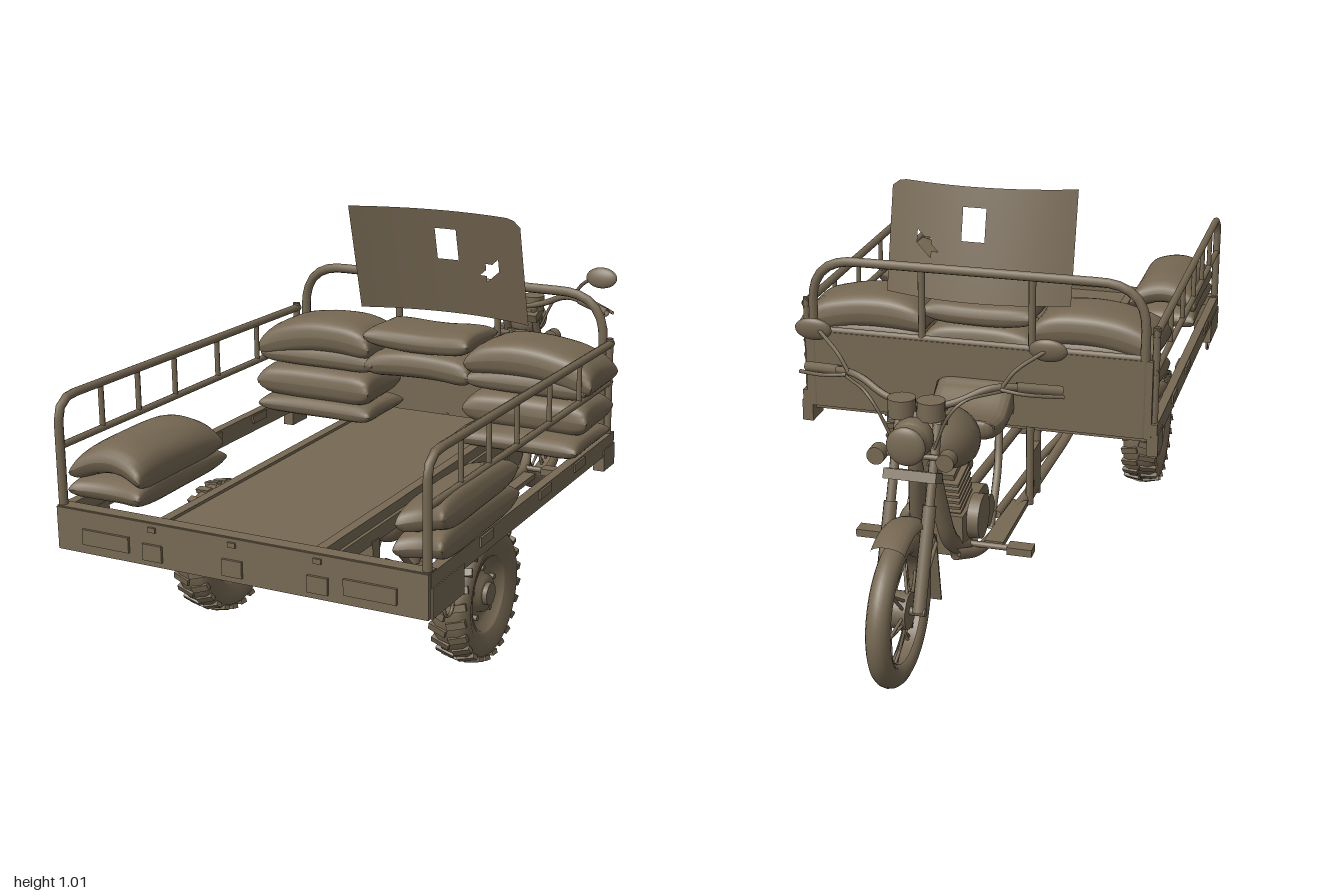
import * as THREE from 'three';

const V = (x, y, z) => new THREE.Vector3(x, y, z);
const CX = -0.012; // centre line of the vehicle

export function createModel() {
  const root = new THREE.Group();
  const paint = new THREE.MeshStandardMaterial({ color: 0x766853, side: THREE.DoubleSide });
  paint.name = 'dusty brown';

  const add = (name, geo, p = [0, 0, 0], r = [0, 0, 0], parent = root) => {
    const m = new THREE.Mesh(geo, paint);
    m.name = name;
    m.position.set(...p);
    m.rotation.set(...r);
    parent.add(m);
    return m;
  };
  const box = (name, w, h, d, p, r, parent) => add(name, new THREE.BoxGeometry(w, h, d), p, r, parent);
  // cylinder lying along x, y or z
  const cyl = (name, rad, len, axis, p, parent, rad2 = rad) =>
    add(name, new THREE.CylinderGeometry(rad, rad2, len, 20), p,
      axis === 'x' ? [0, 0, Math.PI / 2] : axis === 'z' ? [Math.PI / 2, 0, 0] : [0, 0, 0], parent);
  const ball = (name, s, p) => {
    const g = new THREE.SphereGeometry(1, 24, 16);
    g.scale(...s);
    return add(name, g, p);
  };
  // bent pipe with rounded corners
  const pipe = (name, pts, rad = 0.011, bend = 0.05) => {
    const path = new THREE.CurvePath();
    const v = pts.map(p => V(...p));
    let from = v[0];
    for (let i = 1; i < v.length; i++) {
      if (i === v.length - 1) { path.add(new THREE.LineCurve3(from, v[i])); break; }
      const toward = (q) => v[i].clone().add(q.clone().sub(v[i]).setLength(Math.min(bend, q.distanceTo(v[i]) * 0.45)));
      const a = toward(v[i - 1]), b = toward(v[i + 1]);
      path.add(new THREE.LineCurve3(from, a));
      path.add(new THREE.QuadraticBezierCurve3(a, v[i], b));
      from = b;
    }
    return add(name, new THREE.TubeGeometry(path, v.length === 2 ? 1 : 14 * v.length, rad, 8));
  };
  // side profile [z, y] extruded across x with rounded edges
  const profile = (name, pts, width, bevel) => {
    const s = new THREE.Shape();
    s.moveTo(...pts[0]);
    s.splineThru([...pts.slice(1), pts[0]].map(p => new THREE.Vector2(...p)));
    const g = new THREE.ExtrudeGeometry(s, { depth: width - 2 * bevel, bevelSize: bevel * 0.5, bevelThickness: bevel, bevelOffset: -bevel * 0.5, bevelSegments: 4, curveSegments: 24 });
    g.translate(0, 0, -(width - 2 * bevel) / 2);
    g.rotateY(-Math.PI / 2);
    return add(name, g, [CX, 0, 0]);
  };
  // stuffed sack: a box puffed into a pillow, with rows bunched towards the seams
  const sack = (w, h, d, p, r = [0, 0, 0], sag = 0) => {
    const g = new THREE.BoxGeometry(2, 2, 2, 20, 2, 16), a = g.attributes.position;
    for (let i = 0; i < a.count; i++) {
      const u = Math.sin(a.getX(i) * Math.PI / 2), t = a.getY(i), v = Math.sin(a.getZ(i) * Math.PI / 2);
      const puff = Math.pow(Math.max(0, (1 - u ** 6) * (1 - v ** 4)), 0.36);
      const wrinkle = 1 + 0.05 * Math.sin(u * 7 + v * 3) * Math.abs(u);
      a.setXYZ(i, u * w / 2 * (0.95 + 0.05 * v * v), t * h / 2 * puff * wrinkle - sag * u * u, v * d / 2 * (0.93 + 0.07 * u * u));
    }
    g.computeVertexNormals();
    add('sack', g, p, r);
  };

  // ---- cargo bed ----
  box('bedFloor', 0.42, 0.012, 1.08, [-0.015, 0.425, 0.43]);
  for (const x of [-0.222, 0.192]) box('floorLip', 0.025, 0.04, 1.1, [x, 0.418, 0.43]);
  for (const x of [-0.487, 0.468]) {
    box('sideBeam', 0.024, 0.05, 1.12, [x, 0.415, 0.42]);
    box('beamCorner', 0.03, 0.07, 0.16, [x, 0.37, 0.9]);
    box('beamFrontFoot', 0.03, 0.06, 0.08, [x, 0.38, -0.1]);
    for (const z of [0.12, 0.35, 0.7]) box('beamLatch', 0.034, 0.022, 0.07, [x, 0.425, z]);
    // side rail with uprights
    pipe('sideRail', [[x, 0.42, 0.975], [x, 0.7, 0.975], [x, 0.685, -0.13]], 0.011, 0.06);
    pipe('lowerSideRail', [[x, 0.585, 0.975], [x, 0.58, -0.13]], 0.009);
    for (const z of [0.81, 0.66, 0.5, 0.3, 0.1]) pipe('railUpright', [[x, 0.583, z], [x, 0.693, z]], 0.007);
    pipe('frontCornerPost', [[x, 0.38, -0.12], [x, 0.7, -0.12]], 0.01);
    add('tieRing', new THREE.TorusGeometry(0.022, 0.004, 6, 16), [x, 0.32, 0.87], [0, Math.PI / 2, 0]);
  }
  box('tailgate', 0.973, 0.105, 0.025, [-0.008, 0.388, 0.98]);
  box('tailTopBar', 0.973, 0.03, 0.035, [-0.008, 0.428, 0.972]);
  for (const x of [-0.355, 0.34]) box('tailLamp', 0.13, 0.038, 0.008, [x, 0.378, 0.995]);
  for (const x of [-0.225, -0.01, 0.21]) {
    box('tailPlate', 0.052, 0.04, 0.008, [x, 0.37, 0.995]);
    box('tailHinge', 0.02, 0.012, 0.008, [x, 0.426, 0.994]);
  }
  for (const z of [0.73, 0.47, 0.2]) box('crossMember', 0.43, 0.03, 0.03, [-0.012, 0.395, z]);
  box('frontCrossMember', 0.95, 0.03, 0.03, [-0.008, 0.395, -0.1]);
  box('frontWall', 0.95, 0.215, 0.012, [-0.008, 0.505, -0.135]);

  // front hoop and its rails
  pipe('frontHoop', [[-0.46, 0.4, -0.13], [-0.46, 0.812, -0.13], [0.445, 0.812, -0.13], [0.445, 0.4, -0.13]], 0.013, 0.12);
  pipe('frontMidRail', [[-0.46, 0.615, -0.13], [0.445, 0.615, -0.13]], 0.01);
  for (const x of [-0.16, 0.14]) pipe('hoopUpright', [[x, 0.6, -0.13], [x, 0.812, -0.13]], 0.01);

  // curved wind panel; faces inside the window and the torn hole are left out
  const sheet = new THREE.PlaneGeometry(0.504, 0.295, 24, 17);
  sheet.translate(0.002, 0.1475, 0);
  const sp = sheet.attributes.position, kept = [];
  for (let i = 0; i < sheet.index.count; i += 3) {
    const tri = [0, 1, 2].map(k => sheet.index.getX(i + k));
    const x = tri.reduce((s, k) => s + sp.getX(k), 0) / 3, y = tri.reduce((s, k) => s + sp.getY(k), 0) / 3;
    const inWindow = x > -0.02 && x < 0.044 && y > 0.155 && y < 0.243;
    const along = (x - 0.145) * 0.8 + (y - 0.138) * 0.6, across = (y - 0.138) * 0.8 - (x - 0.145) * 0.6;
    if (!inWindow && (along / 0.035) ** 2 + (across / 0.019) ** 2 > 1) kept.push(...tri);
  }
  sheet.setIndex(kept);
  for (let i = 0; i < sp.count; i++) {
    const x = sp.getX(i);
    const y = sp.getY(i) * (1 - 0.07 * Math.max(0, (x - 0.2) / 0.054) ** 3); // rounded top corner
    sp.setXYZ(i, x, y, 0.24 * y + 0.75 * x * x);
  }
  sheet.computeVertexNormals();
  add('windPanel', sheet, [0, 0.722, -0.122]);

  // ---- sacks ----
  sack(0.35, 0.1, 0.2, [-0.32, 0.66, -0.01], [0, 0, 0.08], 0.03);
  sack(0.31, 0.065, 0.2, [-0.005, 0.675, -0.01], [0, 0, 0], -0.01);
  sack(0.36, 0.1, 0.2, [0.32, 0.66, -0.01], [0, 0, -0.08], 0.03);
  sack(0.35, 0.065, 0.19, [-0.31, 0.6, -0.01]);
  sack(0.31, 0.08, 0.19, [-0.005, 0.613, -0.01], [0, 0, 0], 0.012);
  sack(0.34, 0.065, 0.19, [0.31, 0.6, -0.01]);
  sack(0.35, 0.1, 0.2, [-0.315, 0.525, 0]);
  sack(0.35, 0.1, 0.2, [0.315, 0.525, 0]);
  sack(0.35, 0.06, 0.21, [-0.31, 0.46, 0]);
  sack(0.35, 0.06, 0.25, [0.31, 0.46, 0.03]);
  sack(0.2, 0.07, 0.38, [-0.38, 0.475, 0.775]);
  sack(0.2, 0.085, 0.36, [-0.38, 0.55, 0.78], [0, 0, 0], 0.035);
  sack(0.12, 0.08, 0.42, [0.435, 0.475, 0.75], [0, 0, 0.15]);
  sack(0.12, 0.08, 0.4, [0.44, 0.54, 0.76], [0, 0, 0.25]);

  // ---- rear wheels ----
  const tyre = [[0.1, -0.036], [0.13, -0.048], [0.152, -0.046], [0.165, -0.03], [0.168, 0], [0.165, 0.03], [0.152, 0.046], [0.13, 0.048], [0.1, 0.036]];
  const dish = [[0.02, 0.03], [0.045, 0.03], [0.05, 0.012], [0.085, 0.012], [0.094, 0.036], [0.104, 0.036]];
  for (const [x, s] of [[-0.373, -1], [0.353, 1]]) {
    const w = new THREE.Group();
    w.name = 'rearWheel';
    w.position.set(x, 0.186, 0.475);
    root.add(w);
    const turned = (pts) => new THREE.LatheGeometry(pts.map(p => new THREE.Vector2(...p)), 40);
    add('rearTyre', turned(tyre), [0, 0, 0], [0, 0, Math.PI / 2], w);
    for (const f of [-1, 1]) add('rearRim', turned(dish), [0, 0, 0], [0, 0, f * Math.PI / 2], w);
    cyl('rearHub', 0.028, 0.085, 'x', [0, 0, 0], w);
    for (let i = 0; i < 48; i++) {
      const a = i / 48 * Math.PI * 2, side = i % 2 ? 1 : -1;
      box('treadBlock', 0.048, 0.012, 0.018, [side * 0.025, Math.cos(a) * 0.164, Math.sin(a) * 0.164], [a, side * 0.25, side * -0.2], w);
    }
    for (let i = 0; i < 5; i++) {
      const a = i / 5 * Math.PI * 2;
      cyl('wheelNut', 0.007, 0.012, 'x', [s * 0.018, Math.cos(a) * 0.065, Math.sin(a) * 0.065], w);
    }
  }

  // ---- rear axle, springs and chassis ----
  cyl('axleTube', 0.02, 0.66, 'x', [CX, 0.185, 0.472]);
  ball('differential', [0.045, 0.04, 0.055], [CX, 0.18, 0.472]);
  box('differentialNose', 0.07, 0.07, 0.1, [CX, 0.16, 0.49]);
  pipe('driveShaft', [[CX, 0.19, 0.45], [CX, 0.24, -0.3]], 0.014);
  pipe('axleStay', [[-0.26, 0.16, 0.48], [0.24, 0.16, 0.48]], 0.008);
  pipe('axleBracket', [[-0.065, 0.39, 0.45], [-0.09, 0.245, 0.45], [0.075, 0.245, 0.45], [0.045, 0.39, 0.45]], 0.01, 0.02);
  for (const x of [-0.222, 0.198]) {
    box('chassisRail', 0.03, 0.035, 1.02, [x, 0.395, 0.42]);
    for (const k of [0, 1, 2]) pipe('leafSpring', [[x, 0.31 - k * 0.01, 0.73 - k * 0.08], [x, 0.215 - k * 0.01, 0.472], [x, 0.31 - k * 0.01, 0.26 + k * 0.06]], 0.008, 0.25);
    for (const z of [0.73, 0.27]) box('springHanger', 0.035, 0.1, 0.035, [x, 0.335, z]);
    for (const o of [-0.018, 0.018]) pipe('springClamp', [[x + o, 0.145, 0.472], [x + o, 0.25, 0.472]], 0.006);
    box('clampPlate', 0.055, 0.012, 0.06, [x, 0.245, 0.472]);
    cyl('shockAbsorber', 0.017, 0.11, 'y', [x, 0.3, 0.5]);
    // lower frame and the step frames beside the rider
    pipe('lowerFrameTube', [[x, 0.36, 0.34], [x * 0.85, 0.24, 0.22], [x * 0.65, 0.18, -0.1], [x * 0.45, 0.16, -0.42], [x * 0.3, 0.2, -0.53]], 0.015, 0.08);
    pipe('upperFrameTube', [[x * 0.9, 0.26, 0.3], [x * 0.6, 0.215, 0.05], [x * 0.5, 0.21, -0.3]], 0.011);
    for (const z of [-0.04, -0.12]) pipe('stepUpright', [[x * 0.7, 0.165, z], [x * 0.7, 0.4, z]], 0.011);
    box('stepBracket', 0.02, 0.14, 0.07, [x * 0.7, 0.25, -0.08]);
    pipe('seatTube', [[x * 0.35, 0.42, -0.15], [x * 0.4, 0.3, -0.2], [x * 0.45, 0.18, -0.32]], 0.011);
    box('sideStep', 0.05, 0.015, 0.26, [x * 0.6, 0.18, -0.28]);
  }
  for (const x of [-0.11, 0.09]) ball('airChamber', [0.045, 0.045, 0.06], [x, 0.3, 0.42]);
  pipe('exhaust', [[0.03, 0.32, -0.46], [0.07, 0.29, -0.52], [0.095, 0.18, -0.46], [0.1, 0.19, 0], [0.13, 0.24, 0.3]], 0.015, 0.06);
  pipe('muffler', [[0.1, 0.19, 0], [0.13, 0.24, 0.28]], 0.024);

  // ---- engine and motorcycle frame ----
  box('crankcase', 0.13, 0.11, 0.2, [CX, 0.235, -0.4]);
  cyl('gearboxRear', 0.05, 0.13, 'x', [CX, 0.24, -0.3]);
  for (const s of [-1, 1]) {
    cyl('engineCover', 0.058, 0.03, 'x', [CX + s * 0.08, 0.255, -0.41]);
    cyl('clutchCover', 0.042, 0.03, 'x', [CX + s * 0.075, 0.235, -0.33]);
    cyl('footPegBar', 0.008, 0.15, 'x', [CX + s * 0.12, 0.19, -0.44]);
    box('footPeg', 0.065, 0.02, 0.04, [CX + s * 0.2, 0.19, -0.44]);
    pipe('downTube', [[CX + s * 0.01, 0.56, -0.625], [CX + s * 0.025, 0.4, -0.59], [CX + s * 0.04, 0.22, -0.53], [CX + s * 0.06, 0.165, -0.4]], 0.022, 0.08);
  }
  for (let i = 0; i < 6; i++) box('coolingFin', 0.11, 0.008, 0.11, [CX, 0.3 + i * 0.017, -0.43 - i * 0.004], [-0.2, 0, 0]);
  box('engineCylinder', 0.08, 0.12, 0.08, [CX, 0.345, -0.44], [-0.2, 0, 0]);
  cyl('carburettor', 0.028, 0.12, 'z', [CX, 0.335, -0.33]);
  pipe('backbone', [[CX, 0.54, -0.62], [CX, 0.44, -0.45], [CX, 0.41, -0.13]], 0.02);

  // fuel tank narrows to the rear and is flat below
  const tank = new THREE.SphereGeometry(1, 28, 20), tp = tank.attributes.position;
  for (let i = 0; i < tp.count; i++) {
    const z = tp.getZ(i);
    tp.setXYZ(i, tp.getX(i) * 0.1 * (1 - 0.15 * z), Math.max(tp.getY(i), -0.55) * 0.09 * (1 - 0.12 * z) - z * 0.025, z * 0.145);
  }
  tank.computeVertexNormals();
  add('fuelTank', tank, [CX, 0.483, -0.465]);
  cyl('fuelCap', 0.028, 0.02, 'y', [CX, 0.573, -0.5]);
  profile('seat', [[-0.13, 0.43], [-0.135, 0.515], [-0.17, 0.508], [-0.24, 0.472], [-0.31, 0.478], [-0.36, 0.49], [-0.35, 0.44], [-0.24, 0.415]], 0.21, 0.04);

  // ---- front fork, wheel and fender ----
  const hub = [CX, 0.188, -0.815];
  for (const s of [-1, 1]) {
    const x = CX + s * 0.048;
    pipe('forkUpper', [[x, 0.63, -0.635], [x, 0.37, -0.74]], 0.012);
    pipe('forkLower', [[x, 0.42, -0.72], [x, 0.185, -0.815]], 0.017);
    pipe('fenderStay', [[x * 0.9, 0.19, -0.81], [x * 0.8, 0.28, -0.63]], 0.005);
    cyl('frontSignal', 0.022, 0.035, 'z', [CX + s * 0.085, 0.53, -0.7]);
    cyl('signalStalk', 0.007, 0.07, 'x', [CX + s * 0.055, 0.53, -0.69]);
    cyl('gauge', 0.034, 0.045, 'y', [CX + s * 0.036, 0.64, -0.66]);
    // handlebar half with grip, lever and mirror
    pipe('handlebar', [[CX, 0.63, -0.63], [CX + s * 0.08, 0.645, -0.635], [CX + s * 0.17, 0.69, -0.6], [CX + s * 0.32, 0.665, -0.53]], 0.009, 0.05);
    pipe('grip', [[CX + s * 0.22, 0.682, -0.577], [CX + s * 0.32, 0.665, -0.53]], 0.013);
    pipe('brakeLever', [[CX + s * 0.19, 0.685, -0.61], [CX + s * 0.25, 0.675, -0.605], [CX + s * 0.33, 0.66, -0.555]], 0.005);
    pipe('mirrorStem', [[CX + s * 0.19, 0.685, -0.595], [CX + s * 0.22, 0.73, -0.585], [CX + s * 0.28, 0.765, -0.545]], 0.005);
    ball('mirror', [0.047, 0.03, 0.014], [s * 0.293 - 0.005, 0.765, -0.535]).rotation.x = -0.2;
    pipe('cable', [[CX + s * 0.2, 0.68, -0.6], [CX + s * 0.1, 0.68, -0.7], [CX + s * 0.03, 0.5, -0.67]], 0.004, 0.1);
  }
  for (const [y, z] of [[0.61, -0.645], [0.48, -0.695]]) box('forkClamp', 0.13, 0.025, 0.06, [CX, y, z], [0.4, 0, 0]);
  cyl('headlight', 0.05, 0.06, 'z', [CX, 0.575, -0.715], root, 0.035);
  ball('headlightBowl', [0.05, 0.05, 0.045], [CX, 0.575, -0.69]);
  ball('headlightLens', [0.048, 0.048, 0.015], [CX, 0.575, -0.745]);

  add('frontTyre', new THREE.TorusGeometry(0.157, 0.029, 14, 56), hub, [0, Math.PI / 2, 0]);
  add('frontRim', new THREE.CylinderGeometry(0.128, 0.128, 0.034, 48, 1, true), hub, [0, 0, Math.PI / 2]);
  cyl('frontHub', 0.045, 0.055, 'x', hub);
  cyl('frontAxle', 0.01, 0.13, 'x', hub);
  for (let i = 0; i < 24; i++) {
    const a = i / 24 * Math.PI * 2, b = a + (i % 4 < 2 ? 0.3 : -0.3), x = CX + (i % 2 ? 0.02 : -0.02);
    pipe('spoke', [[x, hub[1] + 0.04 * Math.cos(a), hub[2] + 0.04 * Math.sin(a)], [CX, hub[1] + 0.13 * Math.cos(b), hub[2] + 0.13 * Math.sin(b)]], 0.004);
  }
  // fender: arched section swept over the wheel
  const arch = [];
  for (let i = 0; i <= 8; i++) {
    const t = (i / 8 - 0.5) * Math.PI;
    arch.push(new THREE.Vector2(0.196 + 0.024 * Math.cos(t), 0.042 * Math.sin(t)));
  }
  add('frontFender', new THREE.LatheGeometry(arch, 32, 0.5, 1.48), hub, [0, 0, Math.PI / 2]);
  box('mudFlap', 0.07, 0.2, 0.006, [CX, 0.2, -0.608], [-0.2, 0, 0]);

  return root;
}
